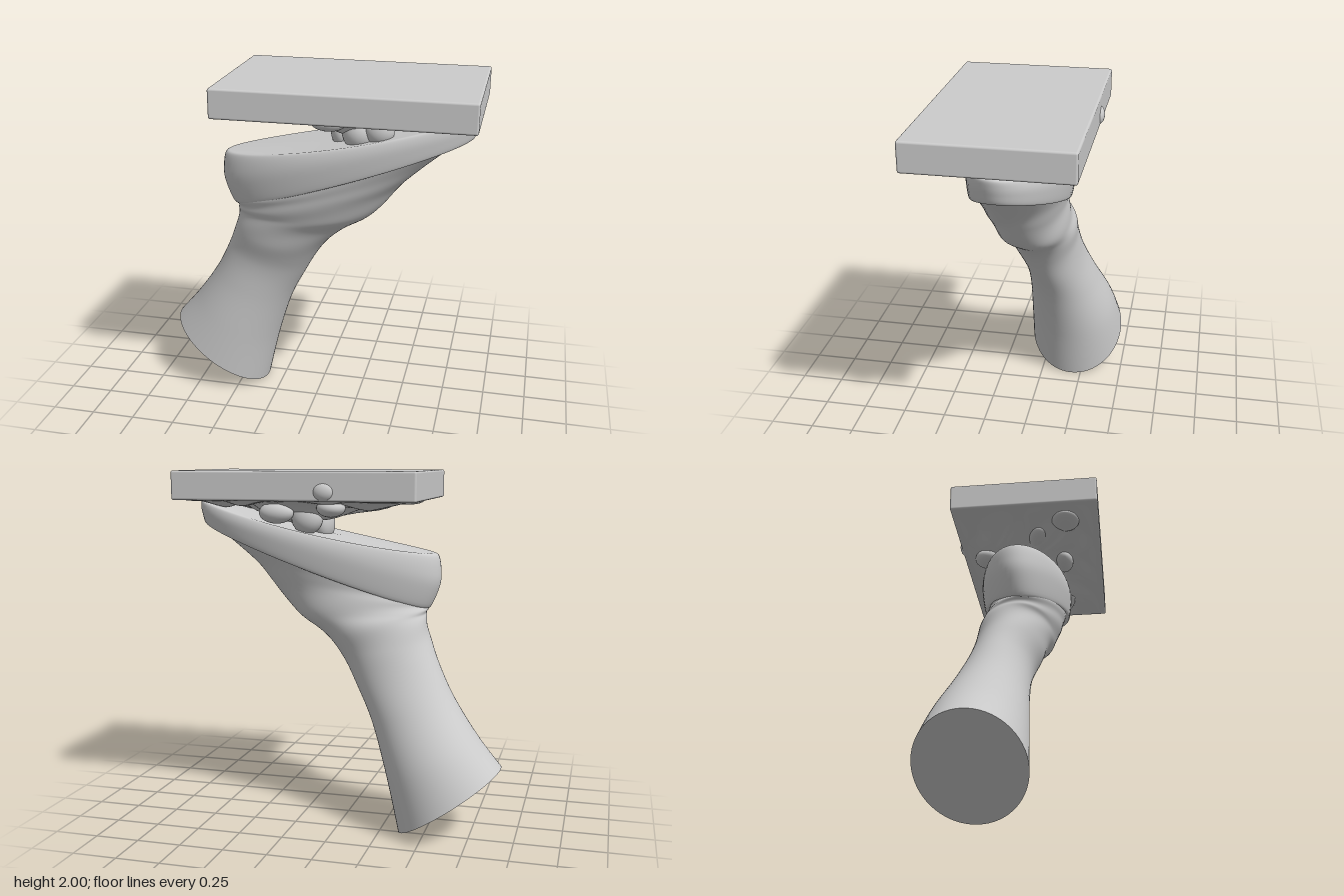
import * as THREE from 'three';
import { RoundedBoxGeometry } from 'three/addons/geometries/RoundedBoxGeometry.js';

const material = new THREE.MeshStandardMaterial({ color: 0xcccccc });
const SIDES = 64;

// Each section: [leftX, leftY, rightX, rightY, backZ, frontZ, sag]
function loft(sections, steps, bump = () => 0) {
  const curve = (k) => {
    // Catmull-Rom through one column of the section table
    const v = sections.map((s) => s[k]);
    return (t) => {
      const p = t * (v.length - 1), i = Math.min(Math.floor(p), v.length - 2), f = p - i;
      const a = v[Math.max(i - 1, 0)], b = v[i], c = v[i + 1], d = v[Math.min(i + 2, v.length - 1)];
      return b + 0.5 * f * (c - a + f * (2 * a - 5 * b + 4 * c - d + f * (3 * (b - c) + d - a)));
    };
  };
  const cols = [0, 1, 2, 3, 4, 5, 6].map(curve);
  const pos = [], index = [];
  const ring = (t) => {
    const [lx, ly, rx, ry, z0, z1, sag] = cols.map((c) => c(t));
    for (let i = 0; i < SIDES; i++) {
      const a = (i / SIDES) * Math.PI * 2, c = Math.cos(a), s = Math.sin(a);
      const k = 1 + bump(t, a);
      pos.push(
        (lx + rx) / 2 + ((rx - lx) / 2) * c * k,
        (ly + ry) / 2 + ((ry - ly) / 2) * c * k - sag * s * s,
        (z0 + z1) / 2 + ((z1 - z0) / 2) * s * k,
      );
    }
    return [(lx + rx) / 2, (ly + ry) / 2 - sag, (z0 + z1) / 2];
  };
  for (let j = 0; j <= steps; j++) ring(j / steps);
  for (let j = 0; j < steps; j++) {
    for (let i = 0; i < SIDES; i++) {
      const a = j * SIDES + i, b = j * SIDES + ((i + 1) % SIDES);
      index.push(a, a + SIDES, b, b, a + SIDES, b + SIDES);
    }
  }
  // end caps with their own vertices, so their rims stay sharp
  for (const t of [0, 1]) {
    const start = pos.length / 3;
    const centre = ring(t);
    pos.push(...centre);
    for (let i = 0; i < SIDES; i++) {
      const a = start + i, b = start + ((i + 1) % SIDES), m = start + SIDES;
      if (t === 0) index.push(m, a, b);
      else index.push(m, b, a);
    }
  }
  const g = new THREE.BufferGeometry();
  g.setAttribute('position', new THREE.Float32BufferAttribute(pos, 3));
  g.setIndex(index);
  g.computeVertexNormals();
  return g;
}

// Rough hanging layer: a plane pushed down by a rule
function roughLayer() {
  const g = new THREE.PlaneGeometry(1.33, 0.8, 90, 56).rotateX(Math.PI / 2);
  const p = g.attributes.position;
  for (let i = 0; i < p.count; i++) {
    const x = p.getX(i) + 0.225, z = p.getZ(i) + 0.05;
    const ex = Math.min((x + 0.44) / 0.3, (0.89 - x) / 0.2, 1);
    const ez = Math.min((z + 0.35) / 0.2, (0.45 - z) / 0.25, 1);
    const edge = Math.max(0, Math.min(ex, ez));
    const ridges = Math.abs(Math.sin(9 * x + 3 * Math.sin(7 * z)) * Math.cos(11 * z + 2 * Math.sin(6 * x)));
    const neck = Math.exp(-(((x - 0.26) / 0.2) ** 2) - ((z - 0.02) / 0.17) ** 2);
    const slope = 0.025 * Math.exp(-(((x - 0.1) / 0.35) ** 2));
    p.setXYZ(i, x, 1.843 - edge * (0.012 + slope + 0.045 * ridges + 0.12 * neck), z);
  }
  g.computeVertexNormals();
  return g;
}

export function createModel() {
  const group = new THREE.Group();
  const add = (name, geometry) => {
    const mesh = new THREE.Mesh(geometry, material);
    mesh.name = name;
    group.add(mesh);
    return mesh;
  };

  // Flat slab on top
  add('slab', new RoundedBoxGeometry(1.37, 0.16, 0.85, 3, 0.012)).position.set(0.225, 1.92, 0.05);

  // Leaning stem, flared at the foot and widening toward the collar
  add('stem', loft([
    [-0.915, 0.40, -0.35, 0.00, -0.48, 0.10, 0],
    [-0.78, 0.56, -0.275, 0.31, -0.43, 0.09, 0],
    [-0.64, 0.76, -0.18, 0.60, -0.335, 0.08, 0],
    [-0.55, 0.93, -0.08, 0.80, -0.27, 0.09, 0],
    [-0.49, 1.07, 0.02, 0.97, -0.24, 0.14, 0],
    [-0.455, 1.18, 0.14, 1.10, -0.235, 0.17, 0],
    [-0.455, 1.22, 0.31, 1.21, -0.215, 0.20, 0],
    [-0.46, 1.25, 0.46, 1.38, -0.20, 0.225, 0],
    [-0.46, 1.28, 0.60, 1.52, -0.20, 0.24, 0],
    [-0.46, 1.32, 0.82, 1.70, -0.22, 0.25, 0],
  ], 90, (t, a) => 0.022 * Math.max(0, Math.sin(Math.PI * (t - 0.38) / 0.6))
    * Math.sin(3 * a + 14 * t) * Math.cos(22 * t + a)));

  // Slanted collar wrapped around the top of the stem
  add('collar', loft([
    [-0.44, 1.245, 0.83, 1.69, -0.215, 0.245, 0],
    [-0.475, 1.25, 0.865, 1.70, -0.235, 0.262, 0.005],
    [-0.525, 1.37, 0.882, 1.75, -0.25, 0.275, 0.005],
    [-0.53, 1.46, 0.89, 1.79, -0.25, 0.275, 0.01],
    [-0.515, 1.535, 0.89, 1.825, -0.235, 0.262, 0.02],
    [-0.48, 1.55, 0.87, 1.835, -0.215, 0.24, 0.03],
  ], 30));

  // Rough underside of the slab and the broken neck that meets the collar
  add('roughUnderside', roughLayer());
  const lumps = [
    // x, y, z, radiusX, radiusY, radiusZ
    [0.27, 1.72, 0.12, 0.10, 0.10, 0.10],
    [0.15, 1.70, 0.02, 0.06, 0.10, 0.09],
    [0.38, 1.75, 0.17, 0.08, 0.08, 0.06],
    [0.20, 1.74, -0.14, 0.09, 0.09, 0.07],
    [0.36, 1.77, -0.20, 0.10, 0.06, 0.06],
    [0.12, 1.80, 0.24, 0.10, 0.05, 0.06],
    [0.04, 1.80, -0.22, 0.08, 0.05, 0.08],
    [-0.12, 1.82, 0.12, 0.12, 0.045, 0.07],
    [-0.28, 1.83, 0.28, 0.10, 0.03, 0.08],
    [0.62, 1.82, 0.20, 0.16, 0.05, 0.08],
    [0.04, 1.89, -0.36, 0.06, 0.05, 0.035],
  ];
  const lumpGroup = new THREE.Group();
  lumpGroup.name = 'lumps';
  for (const [x, y, z, rx, ry, rz] of lumps) {
    const mesh = new THREE.Mesh(new THREE.SphereGeometry(1, 24, 16), material);
    mesh.name = 'lump';
    mesh.position.set(x, y, z);
    mesh.scale.set(rx, ry, rz);
    lumpGroup.add(mesh);
  }
  group.add(lumpGroup);
  return group;
}
